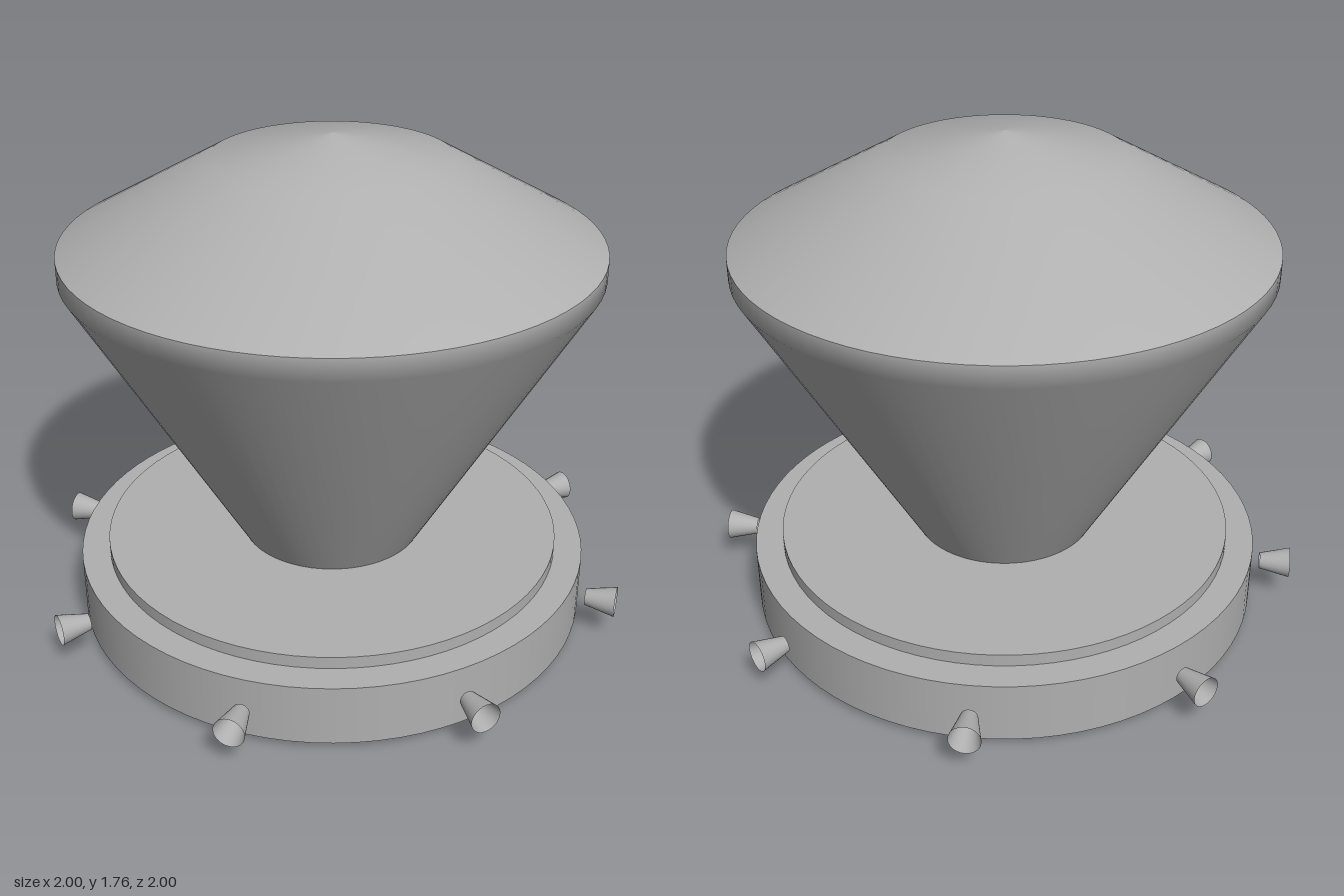
import * as THREE from 'three';

export function createModel() {
  const model = new THREE.Group();
  const grey = new THREE.MeshStandardMaterial({ color: 0xb0b0b0 });
  grey.name = 'grey metal';
  const greyOpen = new THREE.MeshStandardMaterial({ color: 0xb0b0b0, side: THREE.DoubleSide });
  greyOpen.name = 'grey metal thin';

  const add = (name, geometry, material = grey, parent = model) => {
    const mesh = new THREE.Mesh(geometry, material);
    mesh.name = name;
    parent.add(mesh);
    return mesh;
  };
  const disc = (name, radius, bottom, top) =>
    add(name, new THREE.CylinderGeometry(radius, radius, top - bottom, 80).translate(0, (bottom + top) / 2, 0));
  const lathe = (name, points) =>
    add(name, new THREE.LatheGeometry(points.map(([r, y]) => new THREE.Vector2(r, y)), 80));

  // Capsule: flared body with a short rim band, and a shallow two-step dome
  lathe('flaredBody', [[0.32, 0.29], [0.92, 1.335], [0.92, 1.41]]);
  lathe('dome', [[0.92, 1.41], [0.41, 1.7], [0, 1.78]]);

  // Round base with a raised plate above and a thin floor below
  disc('baseRing', 0.92, 0.038, 0.258);
  disc('topPlate', 0.82, 0.25, 0.302);
  disc('recessFloor', 0.82, 0.023, 0.045);

  // Underside frame: rim, hub and ten spokes around sunken panels
  const inner = 0.396, outer = 0.8, halfSpoke = 0.015, count = 10;
  const frame = new THREE.Shape().absarc(0, 0, 0.82, 0, Math.PI * 2);
  for (let i = 0; i < count; i++) {
    const a0 = Math.PI * 0.75 + (i * Math.PI * 2) / count;
    const a1 = a0 + (Math.PI * 2) / count;
    const gapIn = Math.asin(halfSpoke / inner), gapOut = Math.asin(halfSpoke / outer);
    const panel = new THREE.Path();
    panel.absarc(0, 0, outer, a0 + gapOut, a1 - gapOut, false);
    panel.absarc(0, 0, inner, a1 - gapIn, a0 + gapIn, true);
    panel.closePath();
    frame.holes.push(panel);
  }
  const frameGeometry = new THREE.ExtrudeGeometry(frame, { depth: 0.008, bevelEnabled: false, curveSegments: 40 });
  add('undersideFrame', frameGeometry.rotateX(Math.PI / 2).translate(0, 0.024, 0));

  // Eight open thruster bells around the base
  const bell = new THREE.CylinderGeometry(0.054, 0.029, 0.108, 24, 1, true);
  bell.rotateX(Math.PI / 2).translate(0, 0.158, 1.006);
  const thrusters = new THREE.Group();
  thrusters.name = 'thrusters';
  for (let i = 0; i < 8; i++) {
    add('thrusterBell', bell, greyOpen, thrusters).rotation.y = ((i + 0.5) * Math.PI) / 4;
  }
  model.add(thrusters);

  return model;
}
